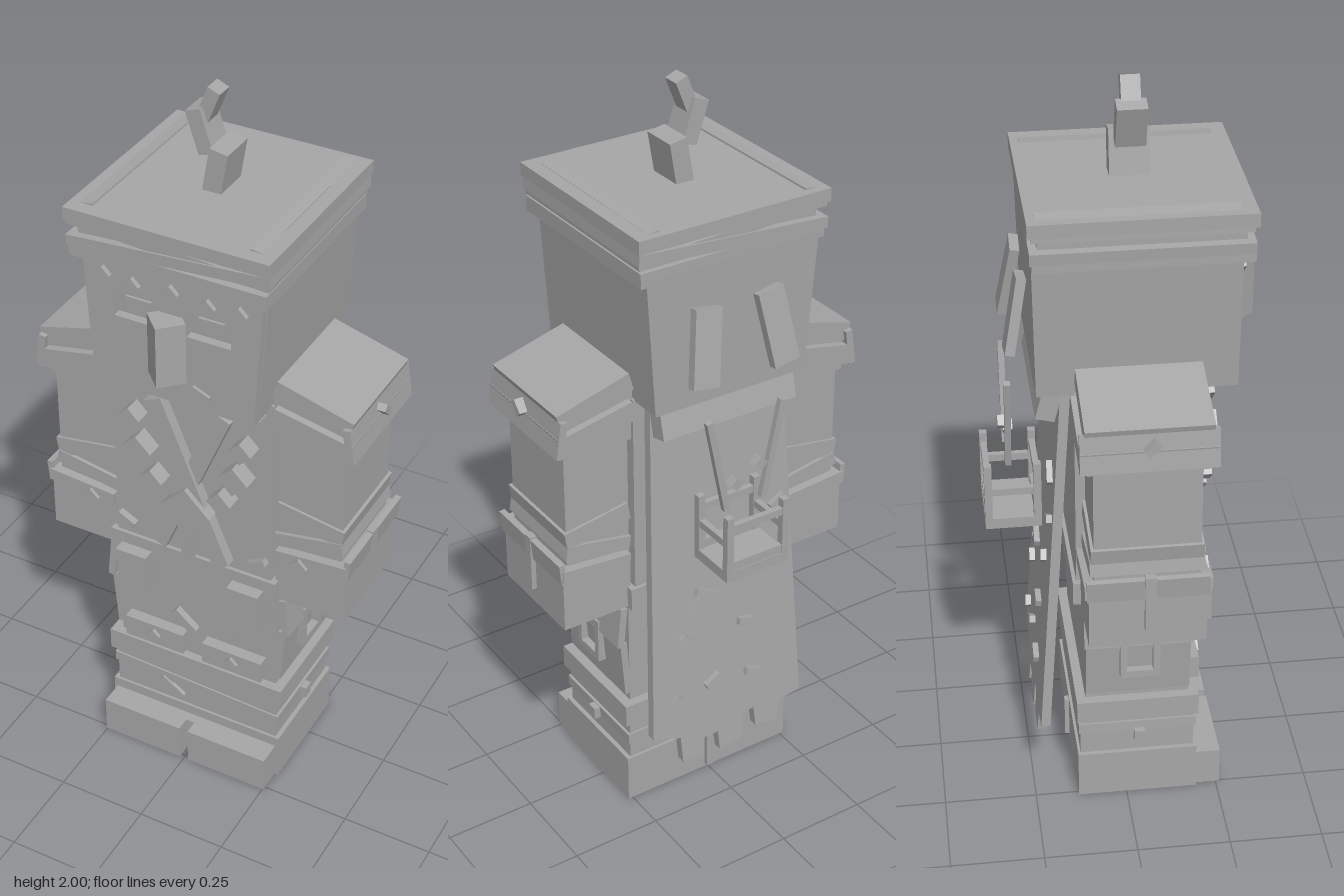
import * as THREE from 'three';

const grey = new THREE.MeshStandardMaterial({ color: 0xa6a6a6 });

function add(parent, name, geo, pos, rot = [0, 0, 0]) {
  const m = new THREE.Mesh(geo, grey);
  m.name = name;
  m.position.set(...pos);
  m.rotation.set(...rot);
  parent.add(m);
  return m;
}
const box = (parent, name, size, pos, rot) => add(parent, name, new THREE.BoxGeometry(...size), pos, rot);

// box whose lower end is scaled in x and z
function taper(parent, name, size, pos, sx, sz) {
  const g = new THREE.BoxGeometry(...size), p = g.attributes.position;
  for (let i = 0; i < p.count; i++) {
    if (p.getY(i) < 0) p.setXYZ(i, p.getX(i) * sx, p.getY(i), p.getZ(i) * sz);
  }
  g.computeVertexNormals();
  return add(parent, name, g, pos);
}

// plate turned 45 degrees, half = half diagonal
const diamond = (parent, name, half, x, y, z, depth) =>
  box(parent, name, [half * 1.414, half * 1.414, depth], [x, y, z], [0, 0, Math.PI / 4]);

function group(parent, name) {
  const g = new THREE.Group();
  g.name = name;
  parent.add(g);
  return g;
}

function rect(path, x0, y0, x1, y1) {
  path.moveTo(x0, y0);
  path.lineTo(x1, y0);
  path.lineTo(x1, y1);
  path.lineTo(x0, y1);
  path.closePath();
  return path;
}

function buildHead(root) {
  const head = group(root, 'head');
  taper(head, 'skull', [0.5, 0.38, 0.49], [0, 1.445, 0.015], 0.89, 0.97);
  // face plate with eye openings
  const face = new THREE.Shape();
  face.moveTo(-0.222, 1.255);
  face.lineTo(0.222, 1.255);
  face.lineTo(0.245, 1.62);
  face.lineTo(-0.245, 1.62);
  face.closePath();
  for (const s of [-1, 1]) {
    const c = s * 0.1;
    face.holes.push(rect(new THREE.Path(), c - 0.06, 1.46, c + 0.06, 1.53));
    box(head, 'eye', [0.07, 0.04, 0.025], [c, 1.495, 0.255]);
  }
  add(head, 'face', new THREE.ExtrudeGeometry(face, { depth: 0.03, bevelEnabled: false }), [0, 0, 0.25]);
  box(head, 'nose', [0.075, 0.17, 0.075], [-0.004, 1.425, 0.3], [0, Math.PI / 4, 0]);
  box(head, 'mouthScar', [0.05, 0.012, 0.01], [0.08, 1.31, 0.283], [0, 0, -0.4]);
  [[-0.185, 1.575], [-0.105, 1.565], [0, 1.575], [0.1, 1.565], [0.185, 1.57]].forEach(([x, y]) =>
    diamond(head, 'browBead', 0.022, x, y, 0.283, 0.02));
  // plates on the back of the head
  for (const s of [-1, 1]) {
    box(head, 'hairPlate', [0.075, 0.2, 0.025], [s * 0.105, 1.43, -0.263], [0.18, 0, s * 0.15]);
  }
  // layered cloth wrap
  box(head, 'lowerWrap', [0.53, 0.04, 0.535], [0, 1.635, 0.038]);
  box(head, 'wrapCore', [0.5, 0.11, 0.5], [0, 1.68, 0.035]);
  box(head, 'tiltedWrap', [0.545, 0.03, 0.54], [0, 1.672, 0.035], [0, 0, 0.07]);
  box(head, 'crossWrap', [0.54, 0.025, 0.53], [0, 1.692, 0.035], [0, 0, -0.06]);
  box(head, 'topWrap', [0.55, 0.036, 0.55], [0, 1.727, 0.035]);
  box(head, 'topStrip', [0.045, 0.02, 0.49], [-0.235, 1.737, 0.027], [0, 0, 0.15]);
  box(head, 'topStrip', [0.03, 0.02, 0.49], [0.22, 1.738, 0.027], [0, 0, -0.15]);
  // crooked tuft
  box(head, 'tuftBase', [0.05, 0.12, 0.1], [0.01, 1.797, 0.033], [0, 0, -0.17]);
  box(head, 'tuftMiddle', [0.042, 0.115, 0.075], [-0.038, 1.888, 0.033], [0, 0, 0.32]);
  box(head, 'tuftTip', [0.035, 0.085, 0.048], [-0.022, 1.958, 0.033], [0, 0, -0.38]);
}

function buildTorso(root) {
  const torso = group(root, 'torso');
  box(torso, 'chest', [0.46, 0.56, 0.32], [0, 0.98, 0.03]);
  box(torso, 'neck', [0.38, 0.08, 0.3], [0, 1.24, 0.03]);
  for (const s of [-1, 1]) {
    box(torso, 'crossStrap', [0.05, 0.51, 0.03], [0, 0.955, 0.2 + s * 0.005], [0, 0, s * 0.39]);
    diamond(torso, 'collarStud', 0.04, s * 0.17, 1.23, 0.2, 0.05);
    [[0.16, 1.12, 0.032], [0.14, 1.025, 0.043], [0.1, 0.94, 0.034]].forEach(([x, y, h]) =>
      diamond(torso, 'chestBead', h, s * x, y, 0.21, 0.055));
    box(torso, 'sidePin', [0.055, 0.018, 0.02], [s * 0.195, 0.755, 0.2], [0, 0, s * 0.5]);
  }
  diamond(torso, 'buckle', 0.072, 0, 0.875, 0.215, 0.04);
  box(torso, 'buckleTail', [0.028, 0.11, 0.03], [0, 0.765, 0.215]);
}

function buildArm(root, s) {
  const arm = group(root, s > 0 ? 'leftArm' : 'rightArm');
  taper(arm, 'sleeve', [0.185, 0.57, 0.27], [0.325, 0.98, 0.03], 1, 1);
  box(arm, 'shoulder', [0.2, 0.14, 0.3], [0.325, 1.215, 0.03]);
  box(arm, 'shoulderPad', [0.215, 0.05, 0.315], [0.335, 1.285, 0.03], [0, 0, -0.27]);
  box(arm, 'shoulderFlap', [0.215, 0.055, 0.34], [0.338, 1.215, 0.03], [0, 0, -0.2]);
  box(arm, 'flapEdge', [0.02, 0.1, 0.34], [0.438, 1.215, 0.03], [0, 0, 0.14]);
  diamond(arm, 'shoulderStud', 0.028, 0.448, 1.235, 0.035, 0.02).rotation.set(Math.PI / 4, 0, 0);
  box(arm, 'armWrap', [0.19, 0.05, 0.285], [0.328, 0.915, 0.03], [0, 0, -0.16]);
  box(arm, 'armWrap', [0.19, 0.04, 0.29], [0.328, 0.85, 0.03], [0, 0, 0.18]);
  box(arm, 'cuff', [0.2, 0.16, 0.3], [0.338, 0.72, 0.03]);
  box(arm, 'cuffRim', [0.2, 0.035, 0.32], [0.342, 0.8, 0.03], [0, 0, 0.08]);
  box(arm, 'cuffEdge', [0.016, 0.06, 0.31], [0.44, 0.815, 0.03], [0, 0, -0.1]);
  box(arm, 'cuffStrap', [0.02, 0.16, 0.028], [0.442, 0.77, 0.035]);
  diamond(arm, 'cuffBead', 0.025, 0.31, 0.785, 0.185, 0.03);
  arm.scale.x = s;
}

function buildLower(root) {
  const lower = group(root, 'lowerBody');
  box(lower, 'belt', [0.495, 0.065, 0.34], [0, 0.67, 0.03]);
  box(lower, 'tunic', [0.48, 0.4, 0.28], [0, 0.5, 0.03]);
  box(lower, 'apron', [0.26, 0.27, 0.02], [0, 0.56, 0.175]);
  box(lower, 'apronPin', [0.08, 0.025, 0.02], [-0.025, 0.46, 0.195], [0, 0, -0.7]);
  box(lower, 'hem', [0.535, 0.065, 0.33], [0, 0.29, 0.03]);
  box(lower, 'legs', [0.5, 0.18, 0.31], [0, 0.19, 0.03]);
  box(lower, 'legWrap', [0.515, 0.03, 0.32], [0, 0.215, 0.03], [0, 0, -0.04]);
  box(lower, 'boots', [0.525, 0.14, 0.325], [0, 0.07, 0.03]);
  box(lower, 'bootSeam', [0.026, 0.09, 0.03], [0, 0.065, 0.205]);
  box(lower, 'legPin', [0.08, 0.015, 0.012], [-0.07, 0.19, 0.19], [0, 0, -0.6]);
  box(lower, 'heelSeam', [0.02, 0.12, 0.02], [0, 0.07, -0.135]);
  for (const s of [-1, 1]) {
    box(lower, 'pouch', [0.086, 0.125, 0.065], [s * 0.168, 0.595, 0.2]);
    box(lower, 'pouchFlap', [0.092, 0.035, 0.07], [s * 0.168, 0.65, 0.2]);
    box(lower, 'lowPouch', [0.18, 0.066, 0.045], [s * 0.12, 0.372, 0.18]);
    diamond(lower, 'pouchStud', 0.02, s * 0.12, 0.375, 0.205, 0.015);
    box(lower, 'toe', [0.24, 0.11, 0.07], [s * 0.133, 0.055, 0.225]);
    box(lower, 'legStud', [0.02, 0.035, 0.03], [s * 0.265, 0.2, 0.035]);
    // flared skirt sides
    box(lower, 'upperSkirt', [0.02, 0.12, 0.29], [s * 0.262, 0.57, 0.03], [0, 0, s * 0.1]);
    box(lower, 'lowerSkirt', [0.02, 0.17, 0.28], [s * 0.25, 0.43, 0.03], [0, 0, -s * 0.08]);
    // framed side pocket
    const frame = rect(new THREE.Shape(), -0.053, -0.065, 0.053, 0.065);
    frame.holes.push(rect(new THREE.Path(), -0.035, -0.045, 0.035, 0.045));
    add(lower, 'sidePocket', new THREE.ExtrudeGeometry(frame, { depth: 0.025, bevelEnabled: false }),
      [s * 0.256, 0.475, 0.033], [0, s * Math.PI / 2, 0]);
  }
}

function buildCape(root) {
  const cape = group(root, 'cape');
  cape.position.set(0, 1.26, -0.148);
  cape.rotation.x = 0.068;
  // ragged lower edge
  const sh = new THREE.Shape();
  sh.moveTo(-0.2, 0);
  [[-0.24, -1.03], [-0.17, -1.04], [-0.165, -1.1], [-0.09, -1.09], [-0.085, -1.03], [-0.05, -1.03],
    [-0.045, -1.11], [0.03, -1.12], [0.035, -1.06], [0.08, -1.06], [0.085, -1.12], [0.15, -1.11],
    [0.155, -1.03], [0.24, -1.0], [0.2, 0]].forEach(([x, y]) => sh.lineTo(x, y));
  sh.closePath();
  add(cape, 'capeCloth', new THREE.ExtrudeGeometry(sh, { depth: 0.025, bevelEnabled: false }), [0, 0, -0.0125]);
  // patches and stitches: x, y, width, roll
  [[-0.14, -0.28, 0.06, 0.7], [-0.17, -0.4, 0.05, -0.5], [0.06, -0.6, 0.07, 0.4], [0.09, -0.63, 0.05, -0.9],
    [0.13, -0.72, 0.035, 0.8], [-0.06, -0.73, 0.045, 0.2], [-0.12, -0.55, 0.03, 0.8], [0.05, -0.88, 0.05, -0.5],
    [-0.08, -0.9, 0.05, 0.3], [0.16, -0.9, 0.03, 0.7]].forEach(([x, y, w, r]) =>
    box(cape, 'patch', [w, 0.02, 0.02], [x, y, -0.018], [0, 0, r]));
  box(root, 'capeCollar', [0.4, 0.085, 0.05], [0, 1.215, -0.19], [0.25, 0, 0]);
}

function buildBasket(root) {
  const b = group(root, 'basket');
  const cz = -0.278, hx = 0.085, hz = 0.064;
  box(b, 'basketFloor', [0.19, 0.03, 0.148], [0, 0.805, cz]);
  for (const s of [-1, 1]) {
    for (const t of [-1, 1]) box(b, 'post', [0.02, 0.19, 0.02], [s * hx, 0.885, cz + t * hz]);
    box(b, 'sideRail', [0.016, 0.02, 0.128], [s * hx, 0.9, cz]);
    box(b, 'endRail', [0.17, 0.02, 0.016], [0, 0.945, cz + s * hz]);
    box(b, 'lowRail', [0.17, 0.03, 0.016], [0, 0.83, cz + s * hz]);
    box(b, 'basketStrap', [0.018, 0.275, 0.016], [s * 0.083, 1.1, -0.286], [0, 0, -s * 0.2]);
  }
  diamond(b, 'trinket', 0.02, -0.035, 1.08, -0.297, 0.025);
  diamond(b, 'trinket', 0.02, 0.025, 1.03, -0.28, 0.025);
}

export function createModel() {
  const root = new THREE.Group();
  root.name = 'figure';
  buildHead(root);
  buildTorso(root);
  buildArm(root, 1);
  buildArm(root, -1);
  buildLower(root);
  buildCape(root);
  buildBasket(root);
  return root;
}
